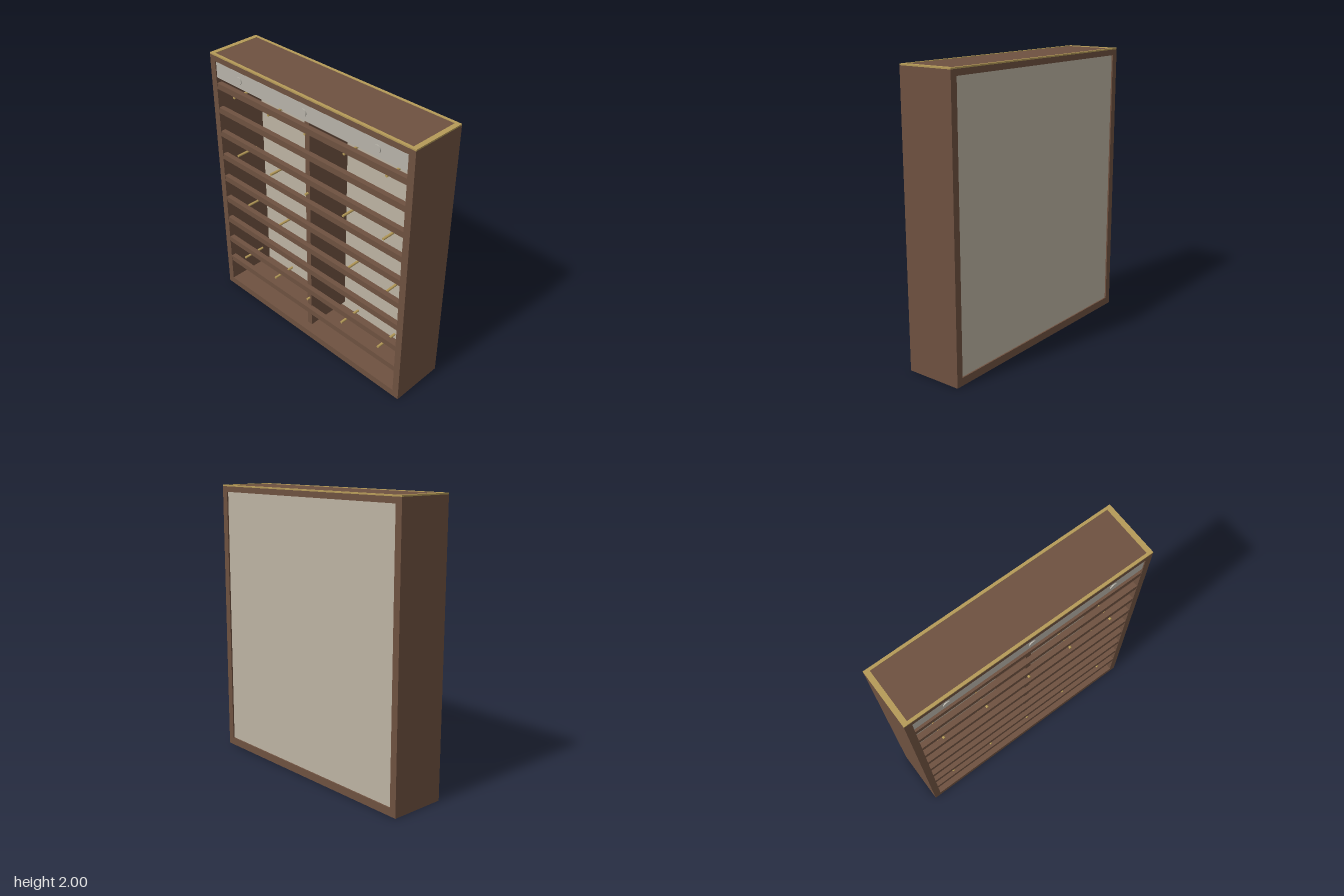
import * as THREE from 'three';

const material = (name, color) => {
  const m = new THREE.MeshStandardMaterial({ color });
  m.name = name;
  return m;
};

export function createModel() {
  const wood = material('brown wood', 0x6e5140);
  const panel = material('pale panel', 0xbcb3a2);
  const metal = material('light grey metal', 0xb6b2a8);
  const brass = material('brass', 0xb59a58);

  const group = new THREE.Group();
  group.name = 'rackCabinet';

  const add = (name, geometry, mat, x, y, z) => {
    const mesh = new THREE.Mesh(geometry, mat);
    mesh.name = name;
    mesh.position.set(x, y, z);
    group.add(mesh);
    return mesh;
  };
  // Box given by its limits on each axis
  const box = (name, mat, [x0, x1], [y0, y1], [z0, z1]) =>
    add(name, new THREE.BoxGeometry(x1 - x0, y1 - y0, z1 - z0), mat,
      (x0 + x1) / 2, (y0 + y1) / 2, (z0 + z1) / 2);

  const W = 0.9, D = 0.205, inner = 0.85;

  // Outer case
  box('leftSide', wood, [inner, W], [0, 1.99], [-D, D]);
  box('rightSide', wood, [-W, -inner], [0, 1.99], [-D, D]);
  box('base', wood, [-inner, inner], [0, 0.055], [-D, D]);
  box('topBoard', wood, [-inner, inner], [1.95, 1.99], [-D, D]);
  box('topPanel', wood, [-0.865, 0.865], [1.99, 1.996], [-0.185, 0.185]);
  box('backPanel', panel, [-inner, inner], [0.055, 1.95], [-0.195, -0.185]);

  // Brass border around the top
  for (const s of [-1, 1]) {
    const z = [s * 0.185, s * D].sort((a, b) => a - b);
    const x = [s * 0.865, s * W].sort((a, b) => a - b);
    box('brassLongEdge', brass, [-W, W], [1.99, 2], z);
    box('brassShortEdge', brass, x, [1.99, 2], [-0.185, 0.185]);
  }

  // Central upright, stopping short of the base
  box('centreDivider', wood, [-0.02, 0.02], [0.095, 1.83], [-0.185, 0.17]);

  // Front rails
  for (let i = 0; i < 9; i++) {
    const y = 0.26 + i * 0.1882;
    box('rail', wood, [-inner, inner], [y - 0.022, y + 0.022], [0.165, 0.203]);
  }

  // Header plate with three round knobs
  box('headerPlate', metal, [-inner, inner], [1.828, 1.95], [0.18, 0.198]);
  for (const x of [-0.615, 0, 0.615]) {
    const knob = new THREE.CylinderGeometry(0.027, 0.027, 0.01, 20).rotateX(Math.PI / 2);
    add('headerKnob', knob, metal, x, 1.884, 0.2);
  }

  // Brass pegs in four rows
  const peg = new THREE.CylinderGeometry(0.009, 0.009, 0.175, 12).rotateX(Math.PI / 2);
  for (let row = 0; row < 4; row++) {
    for (let col = -2; col <= 2; col++) {
      add('peg', peg, brass, col * 0.344, 0.346 + row * 0.461, 0.107);
    }
  }
  return group;
}
